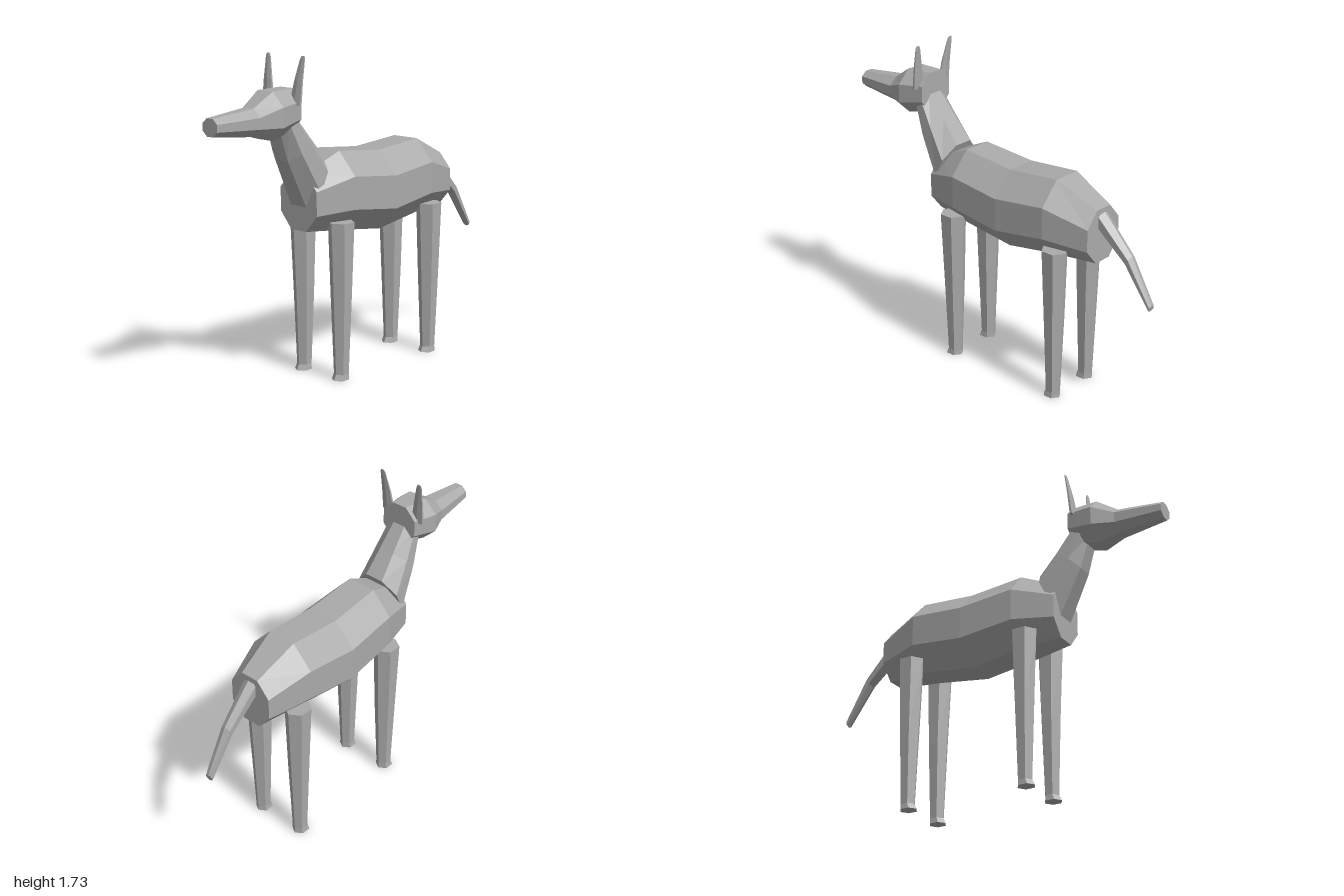
import * as THREE from 'three';

const coat = new THREE.MeshStandardMaterial({ color: 0xaaaaaa });
coat.name = 'grey coat';
coat.flatShading = true;

// Closed tube through rings [x, y, z, half width, vy, vz]; (vy, vz) is the ring's other half axis.
function loft(name, sides, rings) {
  const round = sides === 8 ? 1 / Math.cos(Math.PI / 8) : 1;
  const pos = [], index = [];
  for (const [x, y, z, rx, vy, vz] of rings) {
    for (let i = 0; i < sides; i++) {
      const a = ((i + 0.5) / sides) * Math.PI * 2;
      const c = Math.cos(a) * round, s = Math.sin(a) * round;
      pos.push(x + rx * c, y + vy * s, z + vz * s);
    }
  }
  for (let r = 0; r < rings.length - 1; r++) {
    for (let i = 0; i < sides; i++) {
      const j = (i + 1) % sides, a = r * sides, b = a + sides;
      index.push(a + i, a + j, b + j, a + i, b + j, b + i);
    }
  }
  const end = (rings.length - 1) * sides;
  for (let i = 1; i < sides - 1; i++) {
    index.push(0, i + 1, i, end, end + i, end + i + 1);
  }
  const indexed = new THREE.BufferGeometry();
  indexed.setAttribute('position', new THREE.Float32BufferAttribute(pos, 3));
  indexed.setIndex(index);
  const geometry = indexed.toNonIndexed();
  geometry.computeVertexNormals();
  const mesh = new THREE.Mesh(geometry, coat);
  mesh.name = name;
  return mesh;
}

export function createModel() {
  const group = new THREE.Group();
  group.name = 'deer';

  // Barrel body, rump to chest
  group.add(loft('body', 8, [
    [0, 0.95, -0.68, 0.127, 0.145, 0],
    [0, 1.0, -0.44, 0.195, 0.206, 0],
    [0, 0.965, -0.13, 0.208, 0.215, 0],
    [0, 1.0, 0.18, 0.195, 0.21, 0],
    [0, 0.963, 0.4, 0.13, 0.153, 0],
  ]));

  // Neck, shoulders to skull
  group.add(loft('neck', 8, [
    [0, 1.07, 0.34, 0.13, 0.13, -0.06],
    [0, 1.255, 0.45, 0.108, 0.065, -0.07],
    [0, 1.42, 0.535, 0.085, 0.042, -0.038],
  ]));

  // Head, back of skull to muzzle
  group.add(loft('head', 8, [
    [0, 1.453, 0.48, 0.105, 0.107, 0],
    [0, 1.432, 0.63, 0.13, 0.123, 0],
    [0, 1.41, 0.745, 0.083, 0.07, 0],
    [0, 1.41, 1.0, 0.052, 0.045, 0],
  ]));

  // Tail, tip to root
  group.add(loft('tail', 6, [
    [0, 0.635, -0.996, 0.024, 0.018, -0.004],
    [0, 0.857, -0.853, 0.034, 0.027, -0.015],
    [0, 1.04, -0.66, 0.046, 0.036, -0.03],
  ]));

  for (const side of [1, -1]) {
    const label = side > 0 ? 'left' : 'right';

    // Ears
    group.add(loft(label + 'Ear', 6, [
      [side * 0.097, 1.48, 0.515, 0.042, 0, -0.013],
      [side * 0.108, 1.6, 0.503, 0.031, 0, -0.009],
      [side * 0.121, 1.71, 0.487, 0.018, 0, -0.004],
      [side * 0.123, 1.726, 0.485, 0.011, 0, -0.002],
    ]));

    // Legs with small hooves
    for (const [part, z] of [['FrontLeg', 0.228], ['HindLeg', -0.48]]) {
      const x = side * 0.137;
      group.add(loft(label + part, 6, [
        [x, 0, z + 0.005, 0.045, 0, -0.05],
        [x, 0.03, z - 0.002, 0.04, 0, -0.041],
        [x, 0.45, z - 0.002, 0.057, 0, -0.057],
        [side * 0.139, 0.85, z, 0.069, 0, -0.074],
      ]));
    }
  }
  return group;
}
